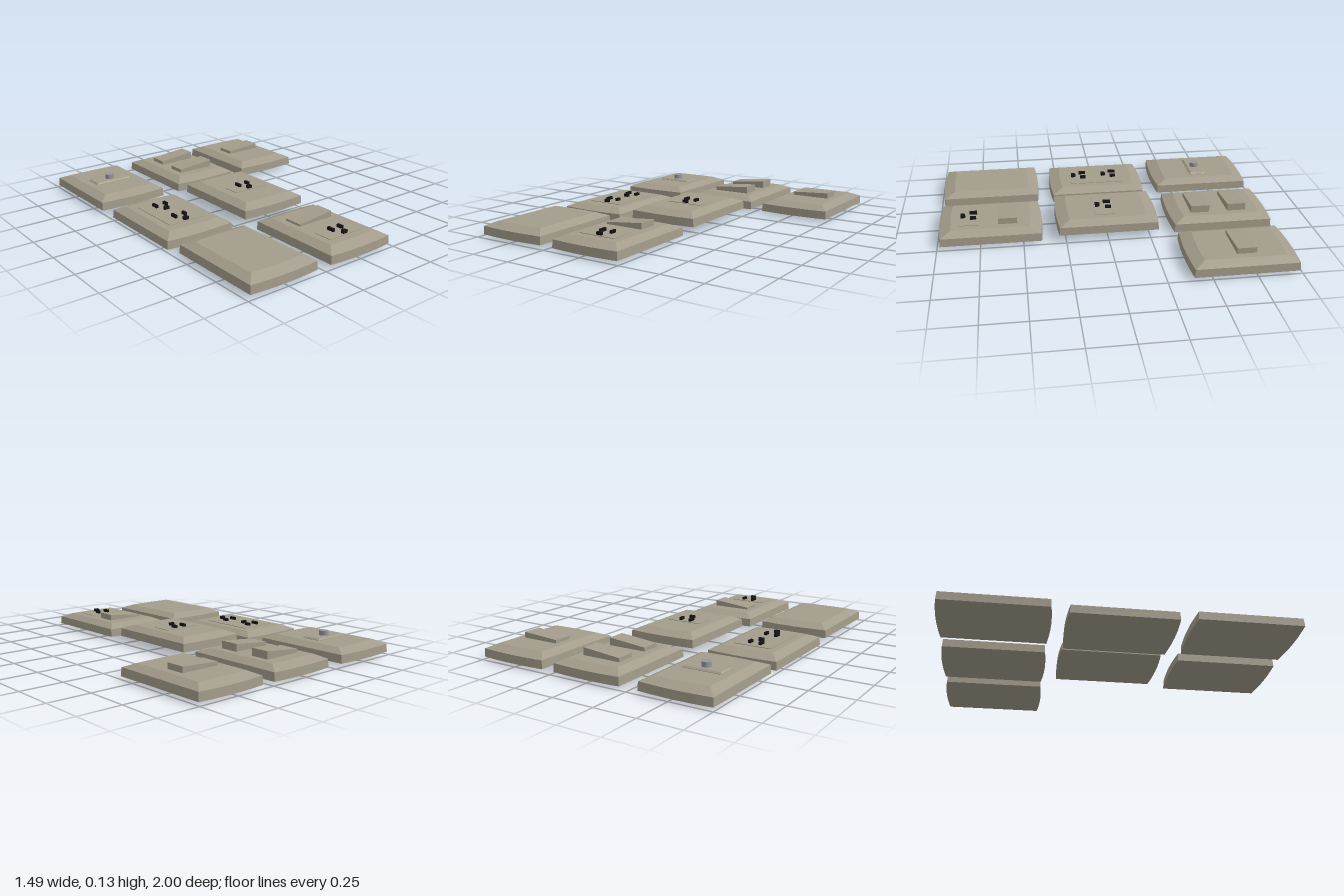
import * as THREE from 'three';

const mat = (color) => new THREE.MeshStandardMaterial({ color, flatShading: true });
const plateMat = mat(0xa39c8b);
const knobMat = mat(0x96969c);
const slotMat = mat(0x141414);
const TOP = 0.073; // plate thickness

function add(parent, name, geometry, material, x = 0, y = 0, z = 0) {
  const mesh = new THREE.Mesh(geometry, material);
  mesh.name = name;
  mesh.position.set(x, y, z);
  parent.add(mesh);
  return mesh;
}

// Loft a solid through rectangles [halfX, halfZ, y, bow] whose short ends bow outward
function loft(sections, n = 8) {
  const pos = [], idx = [], count = 2 * (n + 1);
  for (const [hx, hz, y, bow] of sections) {
    for (const s of [-1, 1]) {
      for (let i = 0; i <= n; i++) {
        const t = 2 * i / n - 1;
        pos.push(s * t * hx, y, s * (hz - bow * t * t));
      }
    }
  }
  for (let k = 0; k < sections.length - 1; k++) {
    for (let i = 0; i < count; i++) {
      const a = k * count + i, b = k * count + (i + 1) % count;
      idx.push(a, b, b + count, a, b + count, a + count);
    }
  }
  const last = (sections.length - 1) * count;
  for (let i = 1; i < count - 1; i++) {
    idx.push(0, i + 1, i, last, last + i, last + i + 1);
  }
  const g = new THREE.BufferGeometry();
  g.setAttribute('position', new THREE.Float32BufferAttribute(pos, 3));
  g.setIndex(idx);
  const flat = g.toNonIndexed();
  flat.computeVertexNormals();
  return flat;
}

// Bevelled cover plate with bowed ends
const plateGeo = loft([
  [0.216, 0.307, 0, 0.012],
  [0.213, 0.304, 0.048, 0.012],
  [0.160, 0.236, TOP, 0.006],
]);
plateGeo.name = 'plate';

// Thin flat insert around an outlet
function insert(parent, x, z, w, d) {
  add(parent, 'outletInsert', new THREE.BoxGeometry(w, 0.006, d), plateMat, x, TOP, z);
}

// Rocker switch: a wedge rising toward +x
function rocker(parent, x, z, low = 0.02, high = 0.034) {
  const w = 0.118, d = 0.112;
  const s = new THREE.Shape([
    new THREE.Vector2(-w, -0.01), new THREE.Vector2(w, -0.01),
    new THREE.Vector2(w, high), new THREE.Vector2(-w, low),
  ]);
  const g = new THREE.ExtrudeGeometry(s, { depth: d, bevelEnabled: false });
  g.translate(0, 0, -d / 2);
  add(parent, 'rockerSwitch', g, plateMat, x, TOP, z);
}

// Two blade slots and a D-shaped ground hole
function outlet(parent, x, z) {
  const g = new THREE.Group();
  g.name = 'outlet';
  g.position.set(x, TOP, z);
  parent.add(g);
  add(g, 'wideSlot', new THREE.BoxGeometry(0.015, 0.024, 0.045), slotMat, -0.034, 0.008, -0.031);
  add(g, 'narrowSlot', new THREE.BoxGeometry(0.015, 0.024, 0.036), slotMat, 0.034, 0.008, -0.031);
  const s = new THREE.Shape();
  s.moveTo(-0.016, -0.012);
  s.lineTo(0.016, -0.012);
  s.absarc(0, 0, 0.016, 0, Math.PI, false);
  const hole = new THREE.ExtrudeGeometry(s, { depth: 0.024, bevelEnabled: false, curveSegments: 8 });
  hole.rotateX(-Math.PI / 2);
  add(g, 'groundHole', hole, slotMat, 0, -0.004, 0.032);
}

// Chamfered insert with a round knob
function dimmer(parent) {
  const base = loft([
    [0.118, 0.056, 0, 0],
    [0.118, 0.056, 0.002, 0],
    [0.108, 0.046, 0.010, 0],
  ], 1);
  add(parent, 'dimmerBase', base, plateMat, 0, TOP, 0);
  const knobGeo = new THREE.CylinderGeometry(0.027, 0.027, 0.032, 20);
  add(parent, 'dimmerKnob', knobGeo, knobMat, 0, TOP + 0.022, 0);
}

// Position of each plate and the fittings it carries
const plates = [
  { name: 'dimmerPlate', at: [-0.529, 0.016, -0.693], fit: dimmer },
  {
    name: 'doubleSwitchPlate', at: [0.016, 0.016, -0.693],
    fit: (p) => [-0.104, 0.121].forEach((z) => rocker(p, 0.003, z, 0.022, 0.044)),
  },
  { name: 'singleSwitchPlate', at: [0.529, 0.016, -0.692], fit: (p) => rocker(p, 0, -0.017) },
  {
    name: 'doubleOutletPlate', at: [-0.513, 0, -0.006],
    fit: (p) => {
      insert(p, 0, 0, 0.232, 0.34);
      outlet(p, 0.002, -0.085);
      outlet(p, 0.002, 0.115);
    },
  },
  {
    name: 'singleOutletPlate', at: [0.016, 0.041, -0.006],
    fit: (p) => {
      insert(p, 0.007, 0.014, 0.232, 0.116);
      outlet(p, 0.006, 0.018);
    },
  },
  { name: 'blankPlate', at: [-0.505, 0.016, 0.684], fit: () => {} },
  {
    name: 'switchAndOutletPlate', at: [0.016, 0.016, 0.688],
    fit: (p) => {
      rocker(p, -0.003, -0.101, 0.012, 0.036);
      insert(p, -0.003, 0.126, 0.232, 0.12);
      outlet(p, 0.003, 0.133);
    },
  },
];

export function createModel() {
  const model = new THREE.Group();
  model.name = 'wallPlateSet';
  for (const { name, at, fit } of plates) {
    const p = new THREE.Group();
    p.name = name;
    p.position.set(...at);
    add(p, 'coverPlate', plateGeo, plateMat);
    fit(p);
    model.add(p);
  }
  return model;
}
